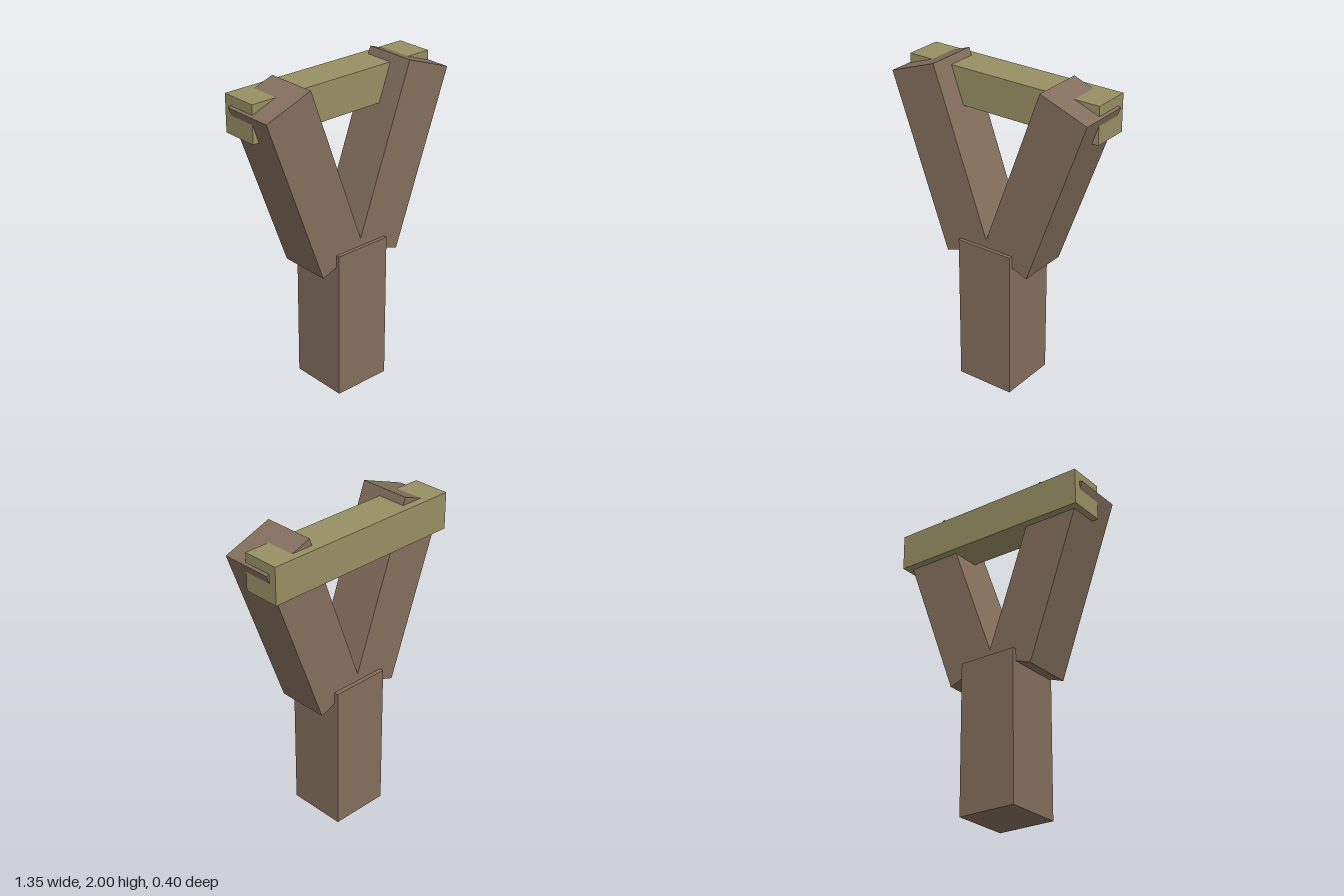
import * as THREE from 'three';

export function createModel() {
  const model = new THREE.Group();
  const bark = new THREE.MeshStandardMaterial({ color: 0x846f5d });
  bark.name = 'brown wood';
  const band = new THREE.MeshStandardMaterial({ color: 0x989064 });
  band.name = 'olive band';

  function addBox(name, material, size, position) {
    const mesh = new THREE.Mesh(new THREE.BoxGeometry(...size), material);
    mesh.name = name;
    mesh.position.set(...position);
    model.add(mesh);
    return mesh;
  }

  // Upright handle
  addBox('handle', bark, [0.376, 0.942, 0.376], [0, 0.471, 0.011]);

  // Two prongs leaning outwards to form the fork
  for (const [name, side] of [['leftProng', 1], ['rightProng', -1]]) {
    const prong = addBox(name, bark, [0.328, 1.128, 0.328], [side * 0.329, 1.415, 0.013]);
    prong.rotation.z = -side * THREE.MathUtils.degToRad(20);
  }

  // Band passing through the prong tips
  addBox('crossBand', band, [1.316, 0.23, 0.235], [0, 1.84, -0.082]);

  return model;
}
